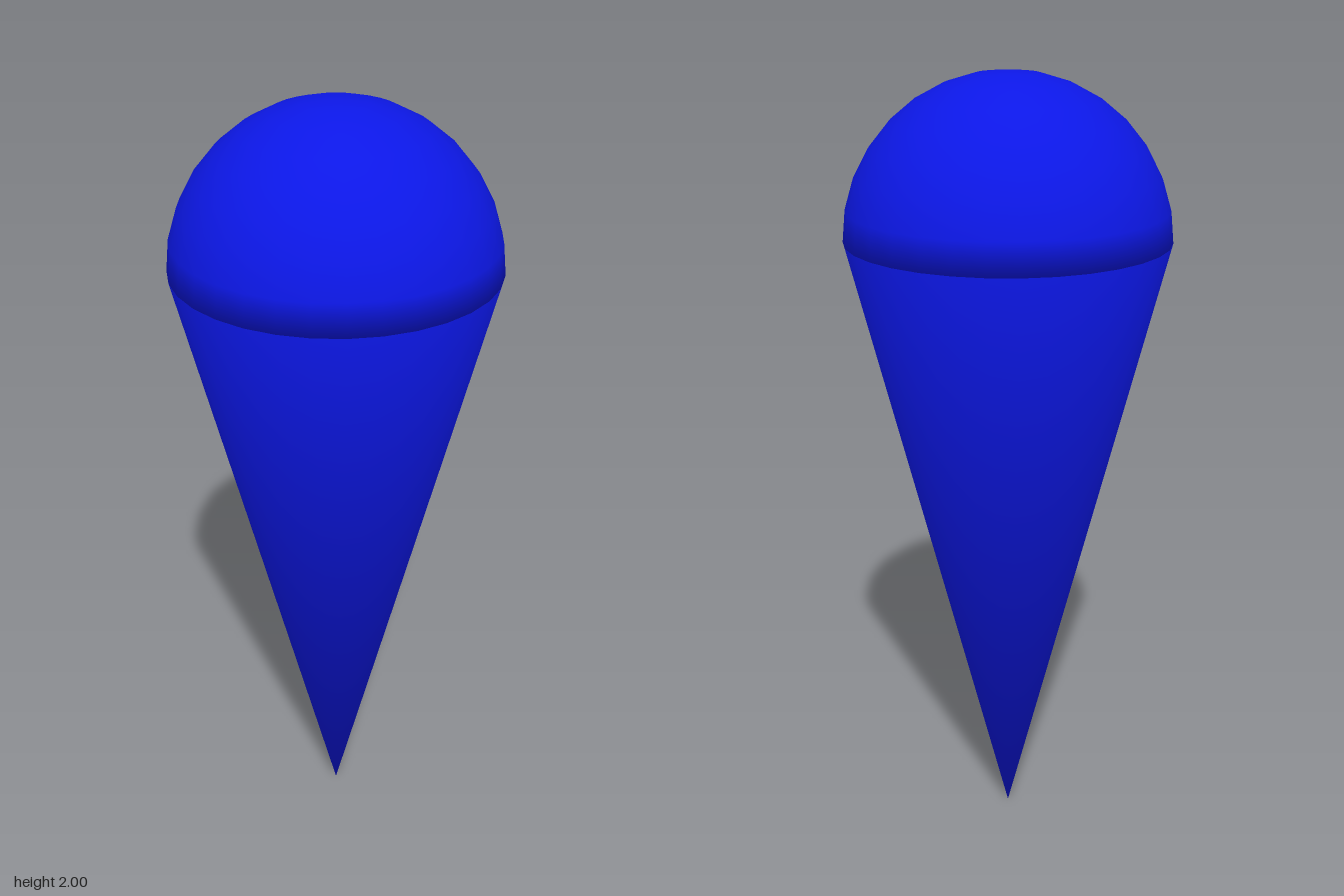
import * as THREE from 'three';
import { mergeVertices } from 'three/addons/utils/BufferGeometryUtils.js';

const RADIUS = 0.4, RIM = 1.6, SIDES = 32, RINGS = 8;

// Closed turned solid whose normals are smoothed across every edge, caps included
function turned(name, profile, material) {
  const lathe = new THREE.LatheGeometry(profile, SIDES);
  lathe.deleteAttribute('normal');
  lathe.deleteAttribute('uv');
  const geometry = mergeVertices(lathe, 1e-4);
  geometry.computeVertexNormals();
  const mesh = new THREE.Mesh(geometry, material);
  mesh.name = name;
  return mesh;
}

export function createModel() {
  const group = new THREE.Group();
  group.name = 'roundedCone';
  const blue = new THREE.MeshStandardMaterial({ color: 0x0c17e6 });

  // Cone standing on its tip, closed by a flat cap
  const cone = [
    new THREE.Vector2(0, 0),
    new THREE.Vector2(RADIUS, RIM),
    new THREE.Vector2(0, RIM),
  ];

  // Half-sphere on the cone's rim, with a flat underside
  const dome = [new THREE.Vector2(0, RIM)];
  for (let i = 0; i <= RINGS; i++) {
    const a = (i / RINGS) * Math.PI / 2;
    dome.push(new THREE.Vector2(i === RINGS ? 0 : RADIUS * Math.cos(a), RIM + RADIUS * Math.sin(a)));
  }

  group.add(turned('cone', cone, blue), turned('dome', dome, blue));
  return group;
}
